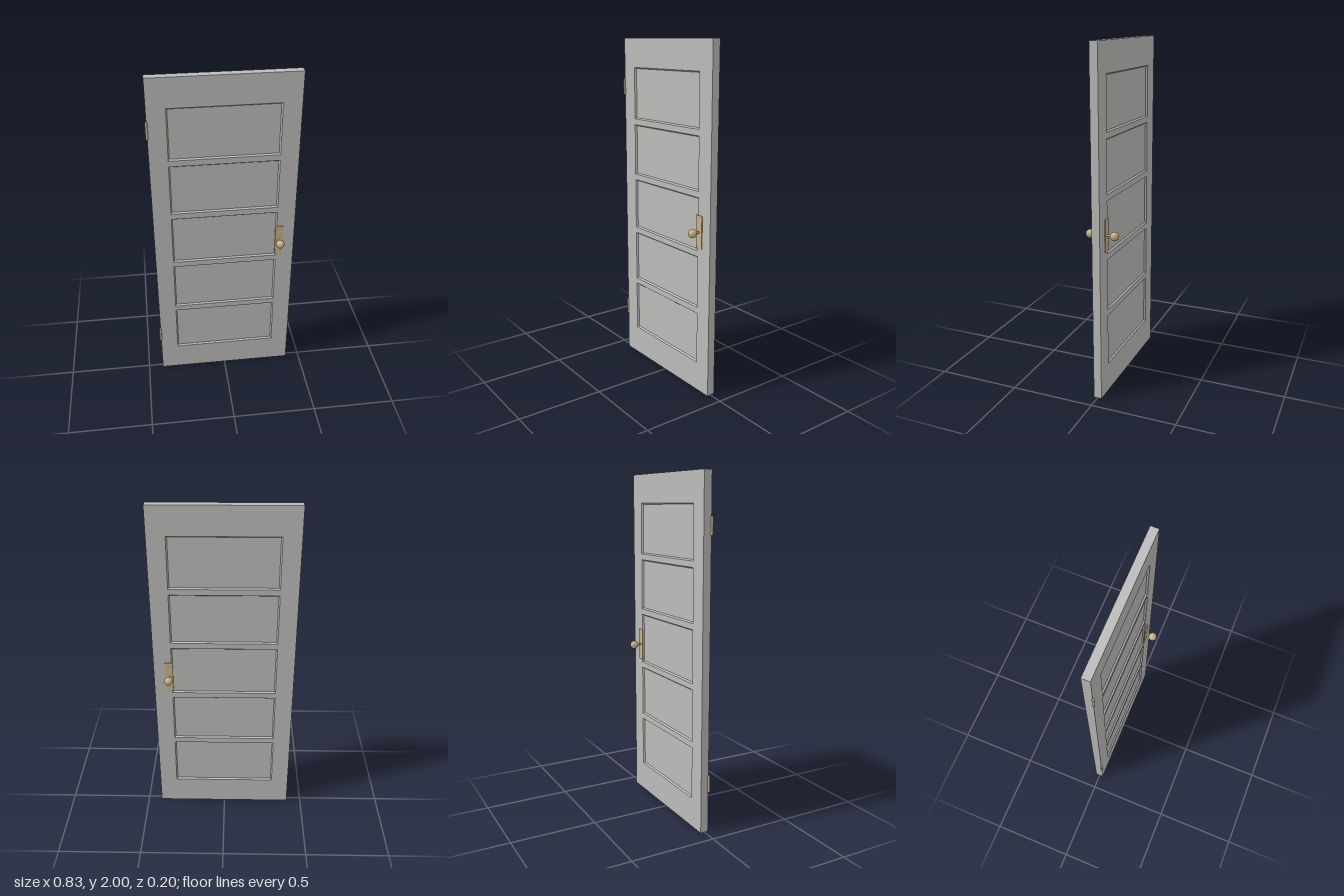
import * as THREE from 'three';

const X0 = -0.41, X1 = 0.415, Z0 = -0.025, Z1 = 0.022; // door slab limits
const PX0 = -0.306, PX1 = 0.31, PANEL_H = 0.304, BEVEL = 0.007, DEPTH = 0.01;
const KNOB_X = 0.325, KNOB_Y = 0.963, MID_Z = (Z0 + Z1) / 2;

// Recessed panel: sloped border running down to a flat field, on both faces
function panelGeometry(w, h) {
  const half = (Z1 - Z0) / 2;
  const rect = (inset, z) => [[-1, -1], [1, -1], [1, 1], [-1, 1]]
    .map(([sx, sy]) => [sx * (w / 2 - inset), sy * (h / 2 - inset), z]);
  const pos = [];
  const quad = (a, b, c, d) => pos.push(...a, ...b, ...c, ...a, ...c, ...d);
  for (const side of [1, -1]) {
    const outer = rect(0, side * half), inner = rect(BEVEL, side * (half - DEPTH));
    const face = (a, b, c, d) => (side > 0 ? quad(a, b, c, d) : quad(d, c, b, a));
    face(...inner);
    for (let i = 0; i < 4; i++) {
      const j = (i + 1) % 4;
      face(outer[i], outer[j], inner[j], inner[i]);
    }
  }
  const g = new THREE.BufferGeometry();
  g.setAttribute('position', new THREE.Float32BufferAttribute(pos, 3));
  g.computeVertexNormals();
  return g;
}

function tracedRect(path, x0, y0, x1, y1) {
  path.moveTo(x0, y0).lineTo(x1, y0).lineTo(x1, y1).lineTo(x0, y1).closePath();
  return path;
}

export function createModel() {
  const door = new THREE.Group();
  door.name = 'door';
  const paint = new THREE.MeshStandardMaterial({ color: 0xbcbcba });
  paint.name = 'grey paint';
  const brass = new THREE.MeshStandardMaterial({ color: 0xc8b285 });
  brass.name = 'brass';

  const add = (parent, name, geometry, material, x, y, z) => {
    const m = new THREE.Mesh(geometry, material);
    m.name = name;
    m.position.set(x, y, z);
    parent.add(m);
    return m;
  };

  // Frame of stiles and rails, with five openings filled by panels
  const outline = tracedRect(new THREE.Shape(), X0, 0, X1, 2);
  const panel = panelGeometry(PX1 - PX0, PANEL_H);
  for (let i = 0; i < 5; i++) {
    const y = 0.326 + i * 0.3385;
    outline.holes.push(tracedRect(new THREE.Path(), PX0, y - PANEL_H / 2, PX1, y + PANEL_H / 2));
    add(door, 'panel', panel, paint, (PX0 + PX1) / 2, y, MID_Z);
  }
  const frame = new THREE.ExtrudeGeometry(outline, { depth: Z1 - Z0, bevelEnabled: false });
  add(door, 'frame', frame, paint, 0, 0, Z0);

  // Handle set on each face: backplate, stem and faceted knob
  const plate = new THREE.BoxGeometry(0.046, 0.19, 0.005);
  const stem = new THREE.CylinderGeometry(0.0065, 0.0065, 0.04, 12).rotateX(Math.PI / 2);
  const ball = new THREE.IcosahedronGeometry(0.026, 1);
  for (const side of [1, -1]) {
    const handle = new THREE.Group();
    handle.name = side > 0 ? 'frontHandle' : 'backHandle';
    handle.position.set(KNOB_X, KNOB_Y, MID_Z);
    add(handle, 'backplate', plate, brass, 0, 0, side * 0.0255);
    add(handle, 'stem', stem, brass, 0, 0, side * 0.04);
    add(handle, 'knob', ball, brass, 0, 0, side * 0.0725);
    door.add(handle);
  }

  // Hinge barrels on the edge away from the handle
  const barrel = new THREE.CylinderGeometry(0.007, 0.007, 0.098, 12);
  for (const y of [0.29, 1.715]) add(door, 'hinge', barrel, brass, -0.411, y, 0.024);

  return door;
}
